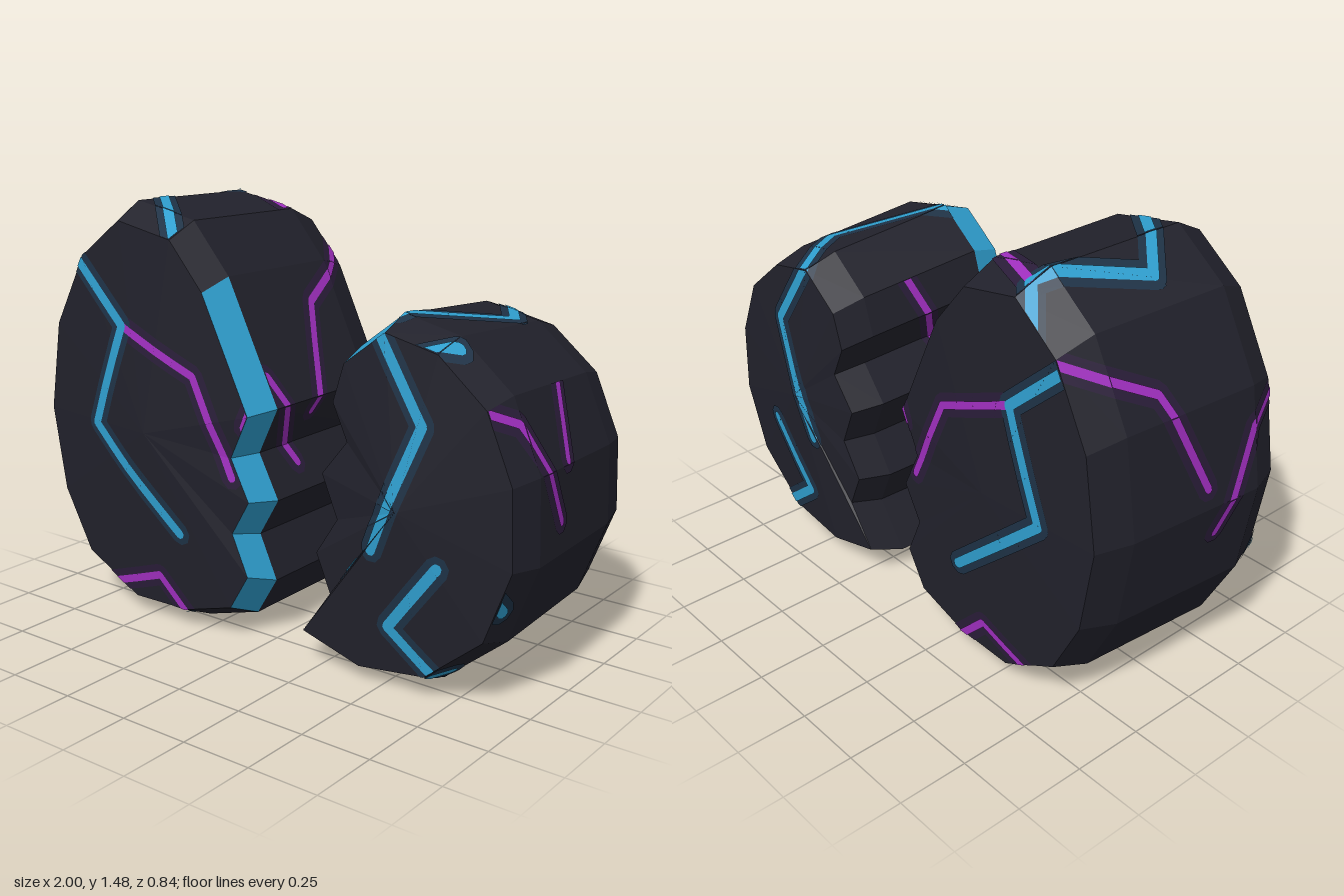
import * as THREE from 'three';

const mat = (name, color) => {
  const m = new THREE.MeshStandardMaterial({ color });
  m.name = name;
  return m;
};

// Outlines run clockwise as seen from the front
const largeHalf = {
  name: 'largeHalf',
  outline: [[-0.6, 1.475], [-0.345, 1.425], [-0.195, 1.25], [0.01, 0.825], [-0.07, 0.66], [0.01, 0.505],
    [-0.07, 0.37], [0, 0.215], [-0.085, 0.075], [-0.31, 0.01], [-0.57, 0.005], [-0.82, 0.14],
    [-0.945, 0.375], [-1, 0.705], [-0.945, 1.05], [-0.795, 1.33]],
  glowEdges: [2, 7], centre: [-0.45, 0.7], inset: 0.925,
  backPivot: [0, 0.6], backScale: [0.955, 0.99],
  z: { apex: 0.418, face: 0.365, rim: 0.25, backRim: -0.26, backFace: -0.39, backApex: -0.418 },
};
const smallHalf = {
  name: 'smallHalf',
  outline: [[0.5, 1.205], [0.705, 1.16], [0.89, 1.005], [0.99, 0.77], [1, 0.49], [0.9, 0.225],
    [0.675, 0.04], [0.405, 0.005], [0.16, 0.075], [0.28, 0.245], [0.22, 0.385], [0.31, 0.525],
    [0.245, 0.68], [0.35, 0.81], [0.29, 0.94], [0.335, 1.08]],
  glowEdges: [7, 15], centre: [0.58, 0.62], inset: 0.93,
  backPivot: [0.3, 0.4], backScale: [0.965, 0.955],
  z: { apex: 0.39, face: 0.345, rim: 0.23, backRim: -0.27, backFace: -0.39, backApex: -0.42 },
};

// Crack pattern, projected onto each facet along its dominant axis
const cyanCracks = [
  [[-0.86, 1.33], [-0.56, 1.06], [-0.695, 0.695], [-0.315, 0.355]],
  [[0.45, 1.22], [0.66, 0.9], [0.485, 0.475]],
  [[0.725, 0.465], [0.54, 0.225], [0.75, 0.06]],
];
const purpleCracks = [
  [[-0.56, 1.06], [-0.245, 0.925], [-0.09, 0.595]],
  [[-0.7, 0.08], [-0.43, 0.172], [-0.3, 0.04]],
  [[0.45, 1.29], [0.11, 1.12], [-0.04, 0.775]],
];
const MID = 0.735;

// Facets between successive rings: front apex, face, rim, back rim, back face, back apex
function buildFacets(r) {
  const scale = (pts, c, sx, sy = sx) => pts.map(([x, y]) => [c[0] + (x - c[0]) * sx, c[1] + (y - c[1]) * sy]);
  const back = scale(r.outline, r.backPivot, ...r.backScale);
  const layers = [
    [scale(r.outline, r.centre, 0), r.z.apex], [scale(r.outline, r.centre, r.inset), r.z.face],
    [r.outline, r.z.rim], [back, r.z.backRim],
    [scale(back, r.centre, r.inset), r.z.backFace], [scale(back, r.centre, 0), r.z.backApex],
  ].map(([pts, z]) => pts.map(([x, y]) => new THREE.Vector3(x, y, z)));
  const stone = [], glow = [], n = r.outline.length;
  for (let k = 0; k < layers.length - 1; k++) {
    for (let i = 0; i < n; i++) {
      const j = (i + 1) % n, f = layers[k], b = layers[k + 1];
      const lit = k === 1 && i >= r.glowEdges[0] && i <= r.glowEdges[1];
      const out = lit ? glow : stone;
      if (k > 0) out.push([f[i], f[j], b[j]]);
      if (k < layers.length - 2) out.push([f[i], b[j], b[i]]);
    }
  }
  return { stone, glow };
}

function facetMesh(name, tris, material) {
  const g = new THREE.BufferGeometry().setFromPoints(tris.flat());
  g.computeVertexNormals();
  const mesh = new THREE.Mesh(g, material);
  mesh.name = name;
  return mesh;
}

// Counter-clockwise outline of a round-ended stroke
function capsule(a, b, r) {
  const t = Math.atan2(b[1] - a[1], b[0] - a[0]), pts = [];
  [[b, -Math.PI / 2], [a, Math.PI / 2]].forEach(([p, start]) => {
    for (let k = 0; k <= 4; k++) {
      const q = t + start + k * Math.PI / 4;
      pts.push([p[0] + r * Math.cos(q), p[1] + r * Math.sin(q)]);
    }
  });
  return pts;
}

// Clip a convex polygon to a counter-clockwise triangle
function clip(poly, tri) {
  for (let e = 0; e < 3 && poly.length; e++) {
    const a = tri[e], b = tri[(e + 1) % 3], out = [];
    const side = (p) => (b[0] - a[0]) * (p[1] - a[1]) - (b[1] - a[1]) * (p[0] - a[0]);
    poly.forEach((p, i) => {
      const q = poly[(i + 1) % poly.length], sp = side(p), sq = side(q);
      if (sp >= 0) out.push(p);
      if (sp * sq < 0) {
        const t = sp / (sp - sq);
        out.push([p[0] + (q[0] - p[0]) * t, p[1] + (q[1] - p[1]) * t]);
      }
    });
    poly = out;
  }
  return poly;
}

// Lay strokes of a given half width on the facets, raised slightly
function paint(facets, paths, radius, lift) {
  const tris = [], strokes = [];
  paths.forEach((p) => {
    for (let i = 0; i < p.length - 1; i++) strokes.push(capsule(p[i], p[i + 1], radius));
  });
  facets.forEach((f) => {
    const n = new THREE.Triangle(...f).getNormal(new THREE.Vector3()), d = n.dot(f[0]);
    const ax = Math.abs(n.x), ay = Math.abs(n.y), az = Math.abs(n.z);
    const axis = az >= ax && az >= ay ? 'z' : ay >= ax ? 'y' : 'x';
    const flat = (v) => (axis === 'z' ? [v.x, v.y] : axis === 'y' ? [v.x, MID - v.z] : [-v.z, v.y]);
    const raise = ([u, v]) => {
      const p = axis === 'z' ? new THREE.Vector3(u, v, 0)
        : axis === 'y' ? new THREE.Vector3(u, 0, MID - v) : new THREE.Vector3(0, v, -u);
      p[axis] = (d - n.dot(p)) / n[axis];
      return p.addScaledVector(n, lift);
    };
    let tri = f.map(flat);
    const [a, b, c] = tri;
    const flipped = (b[0] - a[0]) * (c[1] - a[1]) - (b[1] - a[1]) * (c[0] - a[0]) < 0;
    if (flipped) tri = [a, c, b];
    strokes.forEach((s) => {
      const pts = clip(s, tri).map(raise);
      if (flipped) pts.reverse();
      for (let i = 1; i < pts.length - 1; i++) tris.push([pts[0], pts[i], pts[i + 1]]);
    });
  });
  return tris;
}

export function createModel() {
  const model = new THREE.Group();
  model.name = 'brokenStone';
  const stone = mat('darkStone', 0x21212b);
  const cyan = mat('cyanGlow', 0x2f9fcf);
  const purple = mat('purpleGlow', 0xa02fc0);
  const cyanHalo = mat('cyanHalo', 0x1e3246);
  const purpleHalo = mat('purpleHalo', 0x2a1d39);

  [largeHalf, smallHalf].forEach((r) => {
    const half = new THREE.Group();
    half.name = r.name;
    const facets = buildFacets(r);
    half.add(
      facetMesh('stoneBody', facets.stone, stone),
      facetMesh('glowingBreakEdge', facets.glow, cyan),
    );
    // Halo strokes sit under the bright cores
    [['purpleCrackHalo', purpleCracks, 0.04, 0.002, purpleHalo],
      ['cyanCrackHalo', cyanCracks, 0.042, 0.003, cyanHalo],
      ['purpleCrack', purpleCracks, 0.014, 0.005, purple],
      ['cyanCrack', cyanCracks, 0.018, 0.006, cyan],
    ].forEach(([name, paths, radius, lift, material]) => {
      const tris = paint(facets.stone, paths, radius, lift);
      if (tris.length) half.add(facetMesh(name, tris, material));
    });
    model.add(half);
  });
  return model;
}
